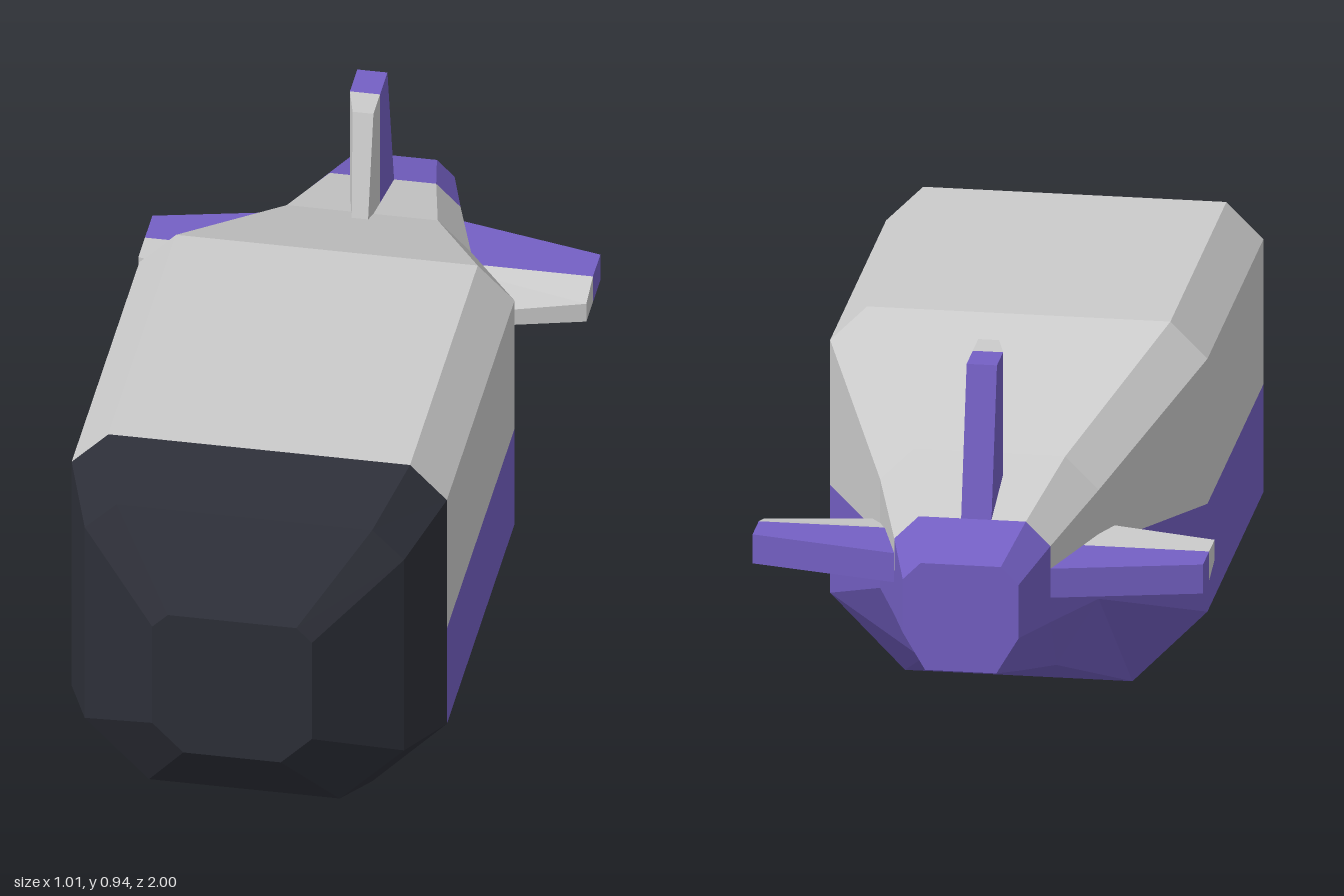
import * as THREE from 'three';

const paint = (color) => new THREE.MeshStandardMaterial({ color, flatShading: true });
const grey = paint(0xcccccc), purple = paint(0x7460c4), dark = paint(0x2d2f38);

// Skin between successive rings of [x, y, z] points; only the listed edges are covered.
function loft(rings, { edges, capStart = false, capEnd = false } = {}) {
  const n = rings[0].length, pos = [];
  const tri = (a, b, c) => pos.push(...a, ...b, ...c);
  const used = edges ?? rings[0].map((_, j) => j);
  for (let i = 0; i < rings.length - 1; i++) {
    for (const j of used) {
      const k = (j + 1) % n, p = rings[i], q = rings[i + 1];
      tri(p[j], p[k], q[k]);
      tri(p[j], q[k], q[j]);
    }
  }
  const first = rings[0], last = rings[rings.length - 1];
  for (let j = 1; j < n - 1; j++) {
    if (capStart) tri(first[0], first[j + 1], first[j]);
    if (capEnd) tri(last[0], last[j], last[j + 1]);
  }
  const g = new THREE.BufferGeometry();
  g.setAttribute('position', new THREE.Float32BufferAttribute(pos, 3));
  g.computeVertexNormals();
  return g;
}

// Chamfered hull section, counter-clockwise from the right-hand paint line.
function section(z, w, topW, botW, top, up, split, low, bot) {
  return [
    [w, split], [w, up], [topW, top], [-topW, top], [-w, up],
    [-w, split], [-w, low], [-botW, bot], [botW, bot], [w, low],
  ].map(([x, y]) => [x, y, z]);
}

// One tapered fin pointing along +x, with a sloped leading half.
function makeFin(name) {
  const fin = new THREE.Group();
  fin.name = name;
  const low = -0.025, high = 0.043, mid = -0.66;
  const ribs = [
    { x: 0.1, front: -0.47, back: -0.847, nose: 0.005 },
    { x: 0.505, front: -0.58, back: -0.75, nose: 0.022 },
  ];
  const lead = ribs.map((r) => [[r.x, low, r.front], [r.x, low, mid], [r.x, high, mid], [r.x, r.nose, r.front]]);
  const trail = ribs.map((r) => [[r.x, low, mid], [r.x, low, r.back], [r.x, high, r.back], [r.x, high, mid]]);
  add(fin, name + 'LeadingHalf', loft(lead, { edges: [0, 2, 3], capEnd: true }), grey);
  add(fin, name + 'TrailingHalf', loft(trail, { edges: [0, 1, 2], capEnd: true }), purple);
  return fin;
}

function add(parent, name, geometry, material) {
  const mesh = new THREE.Mesh(geometry, material);
  mesh.name = name;
  parent.add(mesh);
}

export function createModel() {
  const model = new THREE.Group();
  model.name = 'aircraft';

  // Hull sections from tail to nose
  const s = [
    section(-1.0, 0.13, 0.09, 0.08, 0.55, 0.51, 0.45, 0.385, 0.30),
    section(-0.83, 0.175, 0.12, 0.108, 0.60, 0.545, 0.47, 0.367, 0.25),
    section(-0.58, 0.245, 0.17, 0.15, 0.67, 0.595, 0.465, 0.34, 0.18),
    section(-0.15, 0.423, 0.34, 0.255, 0.848, 0.765, 0.425, 0.172, 0),
    section(0.67, 0.423, 0.34, 0.255, 0.848, 0.765, 0.425, 0.172, 0),
    section(0.85, 0.36, 0.288, 0.215, 0.785, 0.715, 0.425, 0.21, 0.065),
    section(1.0, 0.18, 0.145, 0.11, 0.605, 0.57, 0.425, 0.315, 0.245),
  ];
  add(model, 'tailCone', loft(s.slice(0, 2), { capStart: true }), purple);
  add(model, 'upperHull', loft(s.slice(1, 5), { edges: [0, 1, 2, 3, 4] }), grey);
  add(model, 'lowerHull', loft(s.slice(1, 5), { edges: [5, 6, 7, 8, 9] }), purple);
  add(model, 'nose', loft(s.slice(4), { capEnd: true }), dark);

  // The same fin turned about the long axis: two tailplanes and the upright fin
  [['leftTailplane', 0, 0.467], ['tailFin', Math.PI / 2, 0.43], ['rightTailplane', Math.PI, 0.467]]
    .forEach(([name, angle, y]) => {
      const fin = makeFin(name);
      fin.rotation.z = angle;
      fin.position.y = y;
      model.add(fin);
    });

  return model;
}
